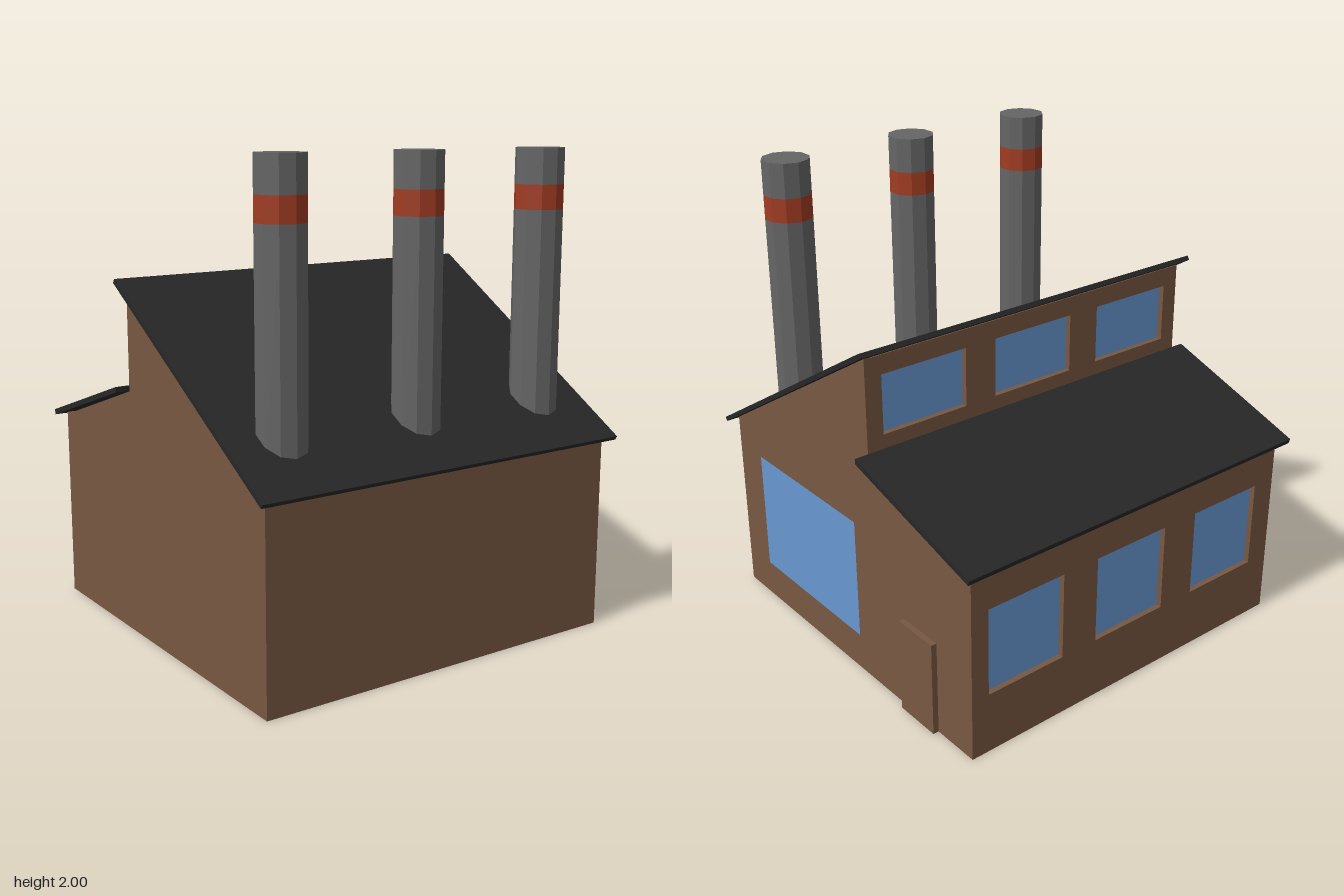
import * as THREE from 'three';

const mat = (name, color) => {
  const m = new THREE.MeshStandardMaterial({ color });
  m.name = name;
  return m;
};

export function createModel() {
  const brick = mat('brown wall', 0x775842);
  const glass = mat('blue glass', 0x6898d2);
  const roofing = mat('dark roofing', 0x272727);
  const concrete = mat('grey concrete', 0x656565);
  const red = mat('red band', 0xa03c22);

  const model = new THREE.Group();
  model.name = 'factory';

  const add = (name, geometry, material, x = 0, y = 0, z = 0) => {
    const mesh = new THREE.Mesh(geometry, material);
    mesh.name = name;
    mesh.position.set(x, y, z);
    model.add(mesh);
    return mesh;
  };
  const polygon = (pts) => new THREE.Shape(pts.map(([a, b]) => new THREE.Vector2(a, b)));
  const rect = (a0, a1, b0, b1) => [[a0, b0], [a1, b0], [a1, b1], [a0, b1]];
  const extrude = (pts, depth, holes = []) => {
    const shape = polygon(pts);
    shape.holes = holes.map(polygon);
    return new THREE.ExtrudeGeometry(shape, { depth, bevelEnabled: false });
  };
  // Extrudes a side profile of [z, y] points from x0 to x1
  const alongX = (pts, x0, x1, holes = []) => {
    const flip = (list) => list.map(([z, y]) => [-z, y]);
    return extrude(flip(pts), x1 - x0, holes.map(flip)).rotateY(Math.PI / 2).translate(x0, 0, 0);
  };

  const W = 0.825; // half width of the building
  const D = 0.03;  // depth of the window recesses
  const sideProfile = (inset) => [
    [W, 0], [W, 0.835], [-0.2 + inset, 1.455 - inset * 0.6], [-0.2 + inset, 1.04],
    [-W + inset, 0.83], [-W + inset, 0],
  ];

  // Building core, and the right wall with its large window opening
  add('buildingCore', alongX(sideProfile(D), -W, W - D), brick);
  const bigWindow = rect(-0.075, 0.7, 0.13, 0.7);
  add('rightWall', alongX(sideProfile(0), W - D, W, [bigWindow]), brick);
  add('rightWindow', new THREE.BoxGeometry(0.006, 0.57, 0.775), glass, W - D + 0.003, 0.415, 0.3125);

  // Two rear walls, each with a row of three recessed windows
  const rearWall = (name, z, y0, y1, centres, width, wy0, wy1) => {
    const holes = centres.map((c) => rect(c - width / 2, c + width / 2, wy0, wy1));
    add(name, extrude(rect(-W, W - D, y0, y1), D, holes), brick, 0, 0, z);
    for (const c of centres) {
      add(name + 'Window', new THREE.BoxGeometry(width, wy1 - wy0, 0.006), glass,
        c, (wy0 + wy1) / 2, z + D - 0.003);
    }
  };
  rearWall('lowerRearWall', -W, 0, 0.83, [0.56, 0.015, -0.53], 0.37, 0.265, 0.645);
  rearWall('upperRearWall', -0.2, 1.0, 1.445, [0.55, 0, -0.55], 0.4, 1.115, 1.365);

  // Side door
  add('door', new THREE.BoxGeometry(0.05, 0.415, 0.21), brick, W, 0.2075, -0.505);

  // Steep front roof
  add('frontRoof', alongX(
    [[0.863, 0.807], [0.873, 0.823], [-0.225, 1.487], [-0.236, 1.47]], -0.865, 0.865), roofing);

  // Shallow rear roof, slightly wider at its upper edge
  const rearRoof = alongX(
    [[-0.2, 1.032], [-0.2, 1.055], [-0.87, 0.838], [-0.863, 0.816]], -1, 1);
  const p = rearRoof.attributes.position;
  for (let i = 0; i < p.count; i++) {
    p.setX(i, p.getX(i) * (p.getZ(i) > -0.5 ? 0.885 : 0.866));
  }
  rearRoof.computeVertexNormals();
  add('rearRoof', rearRoof, roofing);

  // Three ten-sided chimneys, each with a painted band
  const flat = (r, h) => {
    const g = new THREE.CylinderGeometry(r, r, h, 10).toNonIndexed();
    g.computeVertexNormals();
    return g;
  };
  for (const x of [-0.62, 0, 0.62]) {
    for (const [name, y0, y1, material] of [
      ['chimneyShaft', 0.8, 1.755, concrete],
      ['chimneyBand', 1.755, 1.855, red],
      ['chimneyTop', 1.855, 2, concrete],
    ]) {
      add(name, flat(0.1, y1 - y0), material, x, (y0 + y1) / 2, 0.62);
    }
  }
  return model;
}
